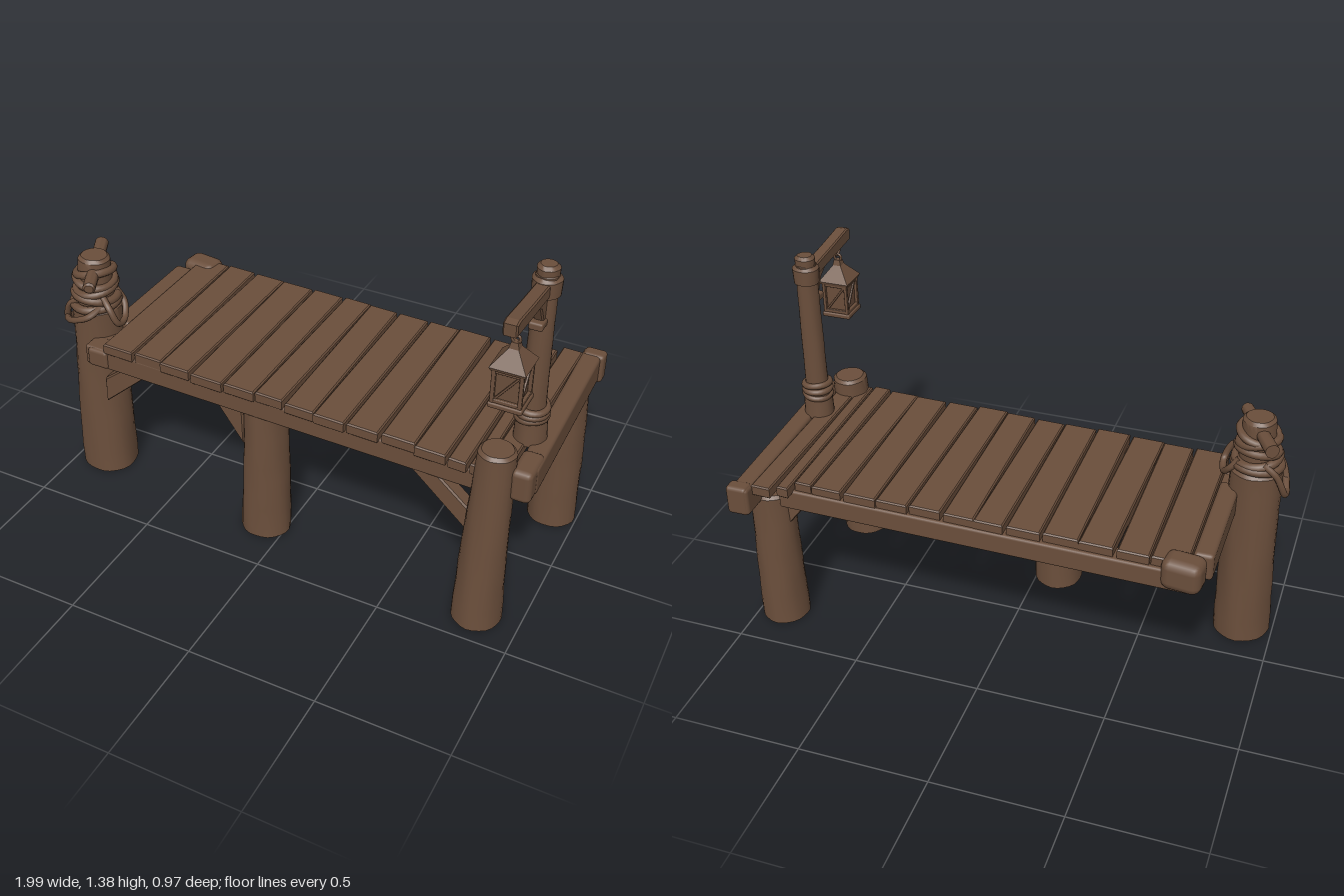
import * as THREE from 'three';
import { toCreasedNormals } from 'three/addons/utils/BufferGeometryUtils.js';
import { RoundedBoxGeometry } from 'three/addons/geometries/RoundedBoxGeometry.js';

const V = (x, y, z) => new THREE.Vector3(x, y, z);

export function createModel() {
  const root = new THREE.Group();
  root.name = 'woodenDock';
  const wood = new THREE.MeshStandardMaterial({ color: 0x6a4e3b });
  wood.name = 'brownWood';

  const add = (geometry, name, parent = root) => {
    const mesh = new THREE.Mesh(geometry, wood);
    mesh.name = name;
    parent.add(mesh);
    return mesh;
  };

  // Place a mesh whose long axis is +y so that it runs from a to b
  const span = (mesh, a, b) => {
    mesh.position.copy(a);
    mesh.quaternion.setFromUnitVectors(V(0, 1, 0), b.clone().sub(a).normalize());
    return mesh;
  };

  // Uneven log with chamfered ends, running from a to b
  const log = (name, a, b, r0, r1, rough = 0.04, parent = root) => {
    const len = a.distanceTo(b);
    const c = Math.min(0.012, r1 * 0.3);
    const profile = [new THREE.Vector2(0, 0), new THREE.Vector2(r0, 0)];
    for (let i = 1; i < 9; i++) {
      profile.push(new THREE.Vector2(r0 + (r1 - r0) * i / 9, (len - c) * i / 9));
    }
    profile.push(new THREE.Vector2(r1, len - c), new THREE.Vector2(r1 - c, len), new THREE.Vector2(0, len));
    const geo = new THREE.LatheGeometry(profile, 24);
    const p = geo.attributes.position;
    const seed = a.x * 9 + a.z * 5;
    for (let i = 0; i < p.count; i++) {
      const x = p.getX(i), y = p.getY(i), z = p.getZ(i);
      const t = Math.atan2(z, x);
      const k = 1 + rough * (0.5 * Math.sin(3 * t + y * 6 + seed) + 0.35 * Math.sin(7 * t - y * 9 + seed)
        + 0.3 * Math.sin(2 * t + y * 31));
      p.setXYZ(i, x * k, y, z * k);
    }
    return span(add(toCreasedNormals(geo, 0.7), name, parent), a, b);
  };

  // Softened block
  const block = (name, w, h, d, x, y, z, r = 0.01, parent = root) => {
    const mesh = add(new RoundedBoxGeometry(w, h, d, 2, r), name, parent);
    mesh.position.set(x, y, z);
    return mesh;
  };

  // Bevelled prism from a flat outline
  const prism = (outline, depth, bevel) => {
    const shape = new THREE.Shape(outline.map(([x, y]) => new THREE.Vector2(x, y)));
    return new THREE.ExtrudeGeometry(shape, {
      depth: depth - 2 * bevel, bevelThickness: bevel, bevelSize: bevel, bevelOffset: -bevel, bevelSegments: 1,
    }).translate(0, 0, bevel);
  };

  // Rope along a smooth path
  const rope = (name, points, r = 0.013, closed = false) =>
    add(new THREE.TubeGeometry(new THREE.CatmullRomCurve3(points, closed), 40, r, 8, closed), name);

  const ring = (name, x, y, z, R, r, tiltX = 0, tiltZ = 0) => {
    const mesh = add(new THREE.TorusGeometry(R, r, 8, 28).rotateX(Math.PI / 2), name);
    mesh.position.set(x, y, z);
    mesh.rotation.set(tiltX, 0, tiltZ);
  };

  // Supporting posts
  log('leftPost', V(-0.873, 0, 0.195), V(-0.868, 0.765, 0.19), 0.113, 0.098);
  log('middlePost', V(-0.085, 0, 0.27), V(-0.078, 0.6, 0.265), 0.098, 0.082);
  log('frontRightPost', V(0.835, 0, 0.365), V(0.855, 0.755, 0.345), 0.094, 0.068);
  log('backRightPost', V(0.897, 0, -0.3), V(0.9, 0.6, -0.3), 0.095, 0.082);

  // Frame beams under the deck
  const frontBeam = block('frontBeam', 1.63, 0.085, 0.08, -0.02, 0.61, 0.315);
  frontBeam.rotation.y = -0.02;
  const backBeam = block('backBeam', 1.58, 0.085, 0.08, 0.04, 0.61, -0.35);
  backBeam.rotation.y = -0.018;
  block('leftBeam', 0.075, 0.11, 0.48, -0.78, 0.625, -0.07, 0.015);
  block('leftBeamFrontEnd', 0.09, 0.08, 0.2, -0.775, 0.61, 0.25, 0.015);
  const rightBeam = block('rightBeam', 0.075, 0.115, 0.8, 0.948, 0.633, -0.08, 0.015);
  rightBeam.rotation.y = 0.02;
  block('rightBeamFrontEnd', 0.08, 0.13, 0.145, 0.95, 0.635, 0.3, 0.022);
  block('rightBeamBackEnd', 0.085, 0.12, 0.06, 0.95, 0.635, -0.452, 0.015);
  const corner = block('backLeftCornerBlock', 0.15, 0.125, 0.11, -0.725, 0.637, -0.37, 0.035);
  corner.rotation.y = -0.12;

  // Deck planks with narrow gaps and uneven ends
  const seams = [-0.745, -0.607, -0.482, -0.348, -0.208, -0.073, 0.047, 0.172, 0.302, 0.432, 0.567, 0.692, 0.767, 0.822, 0.908];
  const deck = new THREE.Group();
  deck.name = 'deck';
  root.add(deck);
  for (let i = 0; i < seams.length - 1; i++) {
    const l = seams[i] + 0.004, r = seams[i + 1] - 0.004;
    const wob = 0.007 * Math.sin(i * 4.7), skew = 0.004 * Math.sin(i * 2.3);
    const front = 0.347 + (l + 0.75) * 0.025 + wob;
    const back = i === 13 ? -0.435 : i === 12 ? -0.41 : -0.385 + (l + 0.75) * 0.012 + wob * 0.5;
    const geo = prism([[l + skew, -front], [r + skew, -front - 0.003], [r - skew, -back], [l - skew, -back + 0.003]], 0.045, 0.005);
    const plank = add(geo.rotateX(-Math.PI / 2), 'plank', deck);
    plank.position.y = 0.643 + 0.003 * Math.sin(i * 3.1);
  }

  // Diagonal braces
  const brace = (name, outline, z, d) => {
    add(prism(outline, d, 0.006), name).position.z = z - d / 2;
  };
  brace('leftBrace', [[-0.79, 0.37], [-0.56, 0.575], [-0.67, 0.575], [-0.79, 0.48]], 0.26, 0.07);
  brace('middleBrace', [[-0.15, 0.4], [-0.15, 0.575], [-0.275, 0.575]], 0.29, 0.06);
  brace('rightBrace', [[0.78, 0.36], [0.78, 0.46], [0.65, 0.575], [0.545, 0.575]], 0.33, 0.06);
  brace('backRightBrace', [[0.84, 0.44], [0.84, 0.54], [0.8, 0.58], [0.73, 0.58]], -0.3, 0.06);
  brace('middleStub', [[-0.02, 0.515], [0.05, 0.52], [0.085, 0.55], [0.09, 0.58], [-0.02, 0.58]], 0.27, 0.05);

  // Mooring bollard with a cross peg and wound rope
  log('bollard', V(-0.868, 0.74, 0.195), V(-0.86, 0.972, 0.19), 0.075, 0.062);
  log('bollardPeg', V(-0.935, 0.927, 0.035), V(-0.79, 0.913, 0.335), 0.026, 0.024);
  ring('ropeCoil', -0.868, 0.775, 0.195, 0.088, 0.017, 0.06, 0.05);
  ring('ropeCoil', -0.865, 0.805, 0.195, 0.082, 0.017, -0.12, -0.1);
  ring('ropeCoil', -0.865, 0.84, 0.192, 0.078, 0.016, 0.14, 0.1);
  ring('ropeCoil', -0.865, 0.875, 0.192, 0.074, 0.016, 0.1, -0.2);
  ring('ropeCoil', -0.862, 0.905, 0.192, 0.072, 0.016, -0.15, 0.22);
  rope('hangingRope', [V(-0.9, 0.8, 0.26), V(-0.95, 0.76, 0.26), V(-0.982, 0.67, 0.23), V(-0.985, 0.68, 0.15), V(-0.95, 0.77, 0.12), V(-0.9, 0.81, 0.12)]);
  rope('hangingRope', [V(-0.8, 0.82, 0.24), V(-0.76, 0.79, 0.26), V(-0.735, 0.73, 0.25), V(-0.745, 0.715, 0.19), V(-0.775, 0.76, 0.14), V(-0.81, 0.81, 0.14)]);
  rope('wrappedRope', [V(-0.8, 0.79, 0.24), V(-0.83, 0.76, 0.305), V(-0.9, 0.73, 0.31), V(-0.965, 0.7, 0.26), V(-0.985, 0.67, 0.2)]);

  // Lamp post with rope binding
  log('lampPostBase', V(0.9, 0.68, 0.143), V(0.9, 0.8, 0.143), 0.06, 0.054);
  log('lampPole', V(0.9, 0.75, 0.143), V(0.9, 1.35, 0.137), 0.045, 0.04);
  log('lampPostCollar', V(0.9, 1.265, 0.137), V(0.9, 1.335, 0.137), 0.049, 0.051);
  log('lampPostCap', V(0.9, 1.33, 0.136), V(0.9, 1.375, 0.136), 0.038, 0.039);
  [0.775, 0.797, 0.82].forEach((y, i) =>
    ring('lampPostRope', 0.9, y, 0.143, 0.05, 0.013, 0.08 * (i - 1), 0.1 * (1 - i)));

  // Lamp arm and bracket, drawn in the zy plane
  const sidePlate = (name, outline, w) => {
    const geo = prism(outline.map(([z, y]) => [-z, y]), w, 0.005).rotateY(Math.PI / 2);
    add(geo, name).position.x = 0.9 - w / 2;
  };
  sidePlate('lampArm', [[0.15, 1.27], [0.15, 1.318], [0.33, 1.335], [0.46, 1.35], [0.486, 1.343], [0.483, 1.297], [0.33, 1.285]], 0.05);
  sidePlate('lampBracket', [[0.15, 1.185], [0.19, 1.185], [0.225, 1.25], [0.285, 1.29], [0.15, 1.29]], 0.036);
  block('lampBracketFoot', 0.05, 0.03, 0.06, 0.9, 1.178, 0.19, 0.008);

  // Hanging lantern
  const lantern = new THREE.Group();
  lantern.name = 'lantern';
  lantern.position.set(0.9, 0, 0.41);
  root.add(lantern);
  const link = add(new THREE.TorusGeometry(0.018, 0.005, 8, 18), 'lanternRing', lantern);
  link.position.y = 1.275;
  link.rotation.y = Math.PI / 2;
  const link2 = add(new THREE.TorusGeometry(0.014, 0.005, 8, 18), 'lanternLink', lantern);
  link2.position.y = 1.247;
  const frustum = (name, rt, rb, h, y) => {
    const geo = new THREE.CylinderGeometry(rt * Math.SQRT2, rb * Math.SQRT2, h, 4).rotateY(Math.PI / 4);
    add(toCreasedNormals(geo, 0.5), name, lantern).position.y = y;
  };
  frustum('lanternFinial', 0.012, 0.017, 0.022, 1.228);
  frustum('lanternRoof', 0.014, 0.062, 0.062, 1.189);
  frustum('lanternEave', 0.062, 0.057, 0.012, 1.152);
  frustum('lanternCore', 0.044, 0.04, 0.13, 1.085);
  block('lanternBase', 0.118, 0.02, 0.118, 0, 1.014, 0, 0.006, lantern);
  for (let i = 0; i < 4; i++) {
    const side = new THREE.Group();
    side.name = 'lanternSide';
    side.rotation.y = i * Math.PI / 2;
    lantern.add(side);
    block('lanternCornerBar', 0.014, 0.135, 0.014, 0.047, 1.086, 0.047, 0.003, side);
    block('lanternTopRail', 0.09, 0.014, 0.012, 0, 1.142, 0.047, 0.003, side);
    block('lanternBottomRail', 0.09, 0.014, 0.012, 0, 1.03, 0.047, 0.003, side);
    block('lanternCrossBar', 0.008, 0.13, 0.008, 0, 1.086, 0.045, 0.002, side).rotation.z = -0.65;
  }
  return root;
}
